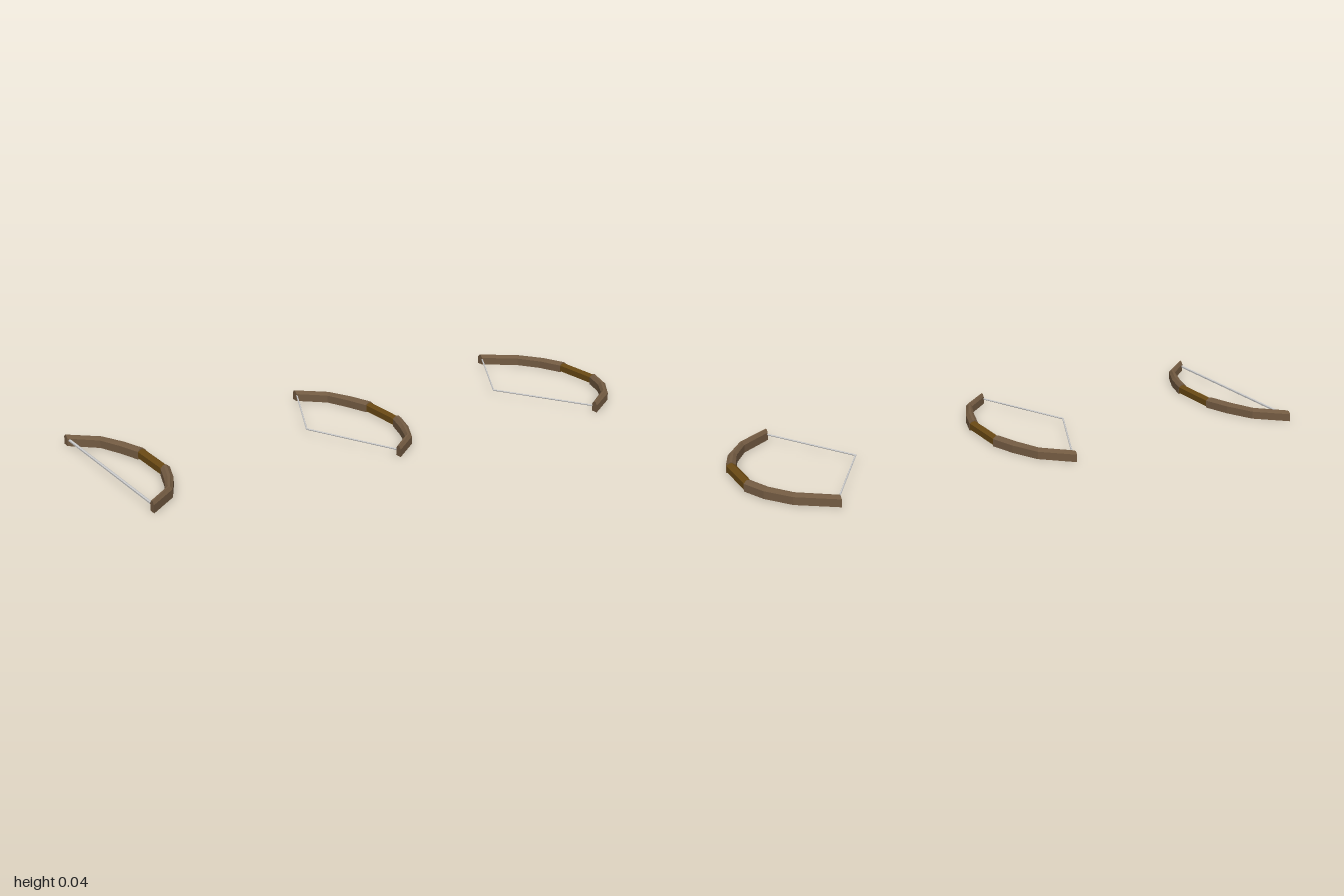
import * as THREE from 'three';

const wood = new THREE.MeshStandardMaterial({ color: 0x735b42, flatShading: true });
const leather = new THREE.MeshStandardMaterial({ color: 0x6b4a14, flatShading: true });
const cord = new THREE.MeshStandardMaterial({ color: 0xcccccc, flatShading: true });

// Six-sided section with chamfered top edges, between an outer and an inner point
function section([xo, zo, xi, zi], y0, y1, chamfer) {
  const at = (t, y) => [xo + (xi - xo) * t, y, zo + (zi - zo) * t];
  return [at(0, y0), at(0, y1 - chamfer), at(0.35, y1), at(0.65, y1), at(1, y1 - chamfer), at(1, y0)];
}

// Skin a row of sections running from +z to -z, with capped ends
function loft(rings, material, name) {
  const n = rings[0].length, pos = [];
  const tri = (...p) => p.forEach((v) => pos.push(...v));
  for (let r = 0; r < rings.length - 1; r++) {
    const a = rings[r], b = rings[r + 1];
    for (let i = 0; i < n; i++) {
      const j = (i + 1) % n;
      tri(a[i], b[i], b[j]);
      tri(a[i], b[j], a[j]);
    }
  }
  const first = rings[0], last = rings[rings.length - 1];
  for (let k = 1; k < n - 1; k++) {
    tri(first[0], first[k], first[k + 1]);
    tri(last[0], last[k + 1], last[k]);
  }
  const geo = new THREE.BufferGeometry();
  geo.setAttribute('position', new THREE.Float32BufferAttribute(pos, 3));
  geo.computeVertexNormals();
  const mesh = new THREE.Mesh(geo, material);
  mesh.name = name;
  return mesh;
}

// Thin straight cord between two points
function cordBetween(a, b, radius, name) {
  const dir = b.clone().sub(a);
  const mesh = new THREE.Mesh(new THREE.CylinderGeometry(radius, radius, dir.length(), 6), cord);
  mesh.position.copy(a).add(b).multiplyScalar(0.5);
  mesh.quaternion.setFromUnitVectors(new THREE.Vector3(0, 1, 0), dir.normalize());
  mesh.name = name;
  return mesh;
}

// stations run from limb tip to grip: [outer x, outer z, inner x, inner z]
function makeBow(name, x, stations, nockX, radius) {
  const bow = new THREE.Group();
  bow.name = name;
  bow.position.x = x;
  const mirror = ([xo, zo, xi, zi]) => [xo, -zo, xi, -zi];
  const limb = (s) => section(s, 0, 0.037, 0.01);

  bow.add(loft(stations.map(limb), wood, 'frontLimb'));
  bow.add(loft(stations.map(mirror).reverse().map(limb), wood, 'backLimb'));

  // Grip, slightly slimmer than the limbs
  const [xo, zo, xi, zi] = stations[stations.length - 1];
  const end = [xo - 0.002, zo, xi + 0.002, zi];
  bow.add(loft([end, mirror(end)].map((s) => section(s, 0.004, 0.033, 0.007)), leather, 'grip'));

  // String from tip to nocking point to tip
  const nock = new THREE.Vector3(nockX, 0.02, 0);
  for (const side of [1, -1]) {
    const tip = new THREE.Vector3(0.008, 0.02, side * 0.35);
    bow.add(cordBetween(tip, nock, radius, side > 0 ? 'frontString' : 'backString'));
  }
  return bow;
}

export function createModel() {
  const model = new THREE.Group();
  model.name = 'bowSet';
  const relaxed = [
    [0, 0.365, 0, 0.338], [0.105, 0.277, 0.088, 0.26],
    [0.153, 0.183, 0.122, 0.177], [0.183, 0.092, 0.15, 0.09],
  ];
  const bent = [
    [0, 0.365, 0, 0.338], [0.13, 0.275, 0.115, 0.253],
    [0.197, 0.183, 0.167, 0.175], [0.233, 0.092, 0.199, 0.09],
  ];
  model.add(makeBow('restingBow', -1, relaxed, 0.008, 0.005));
  model.add(makeBow('halfDrawnBow', -0.094, relaxed, -0.153, 0.003));
  model.add(makeBow('fullyDrawnBow', 0.767, bent, -0.197, 0.003));
  return model;
}
